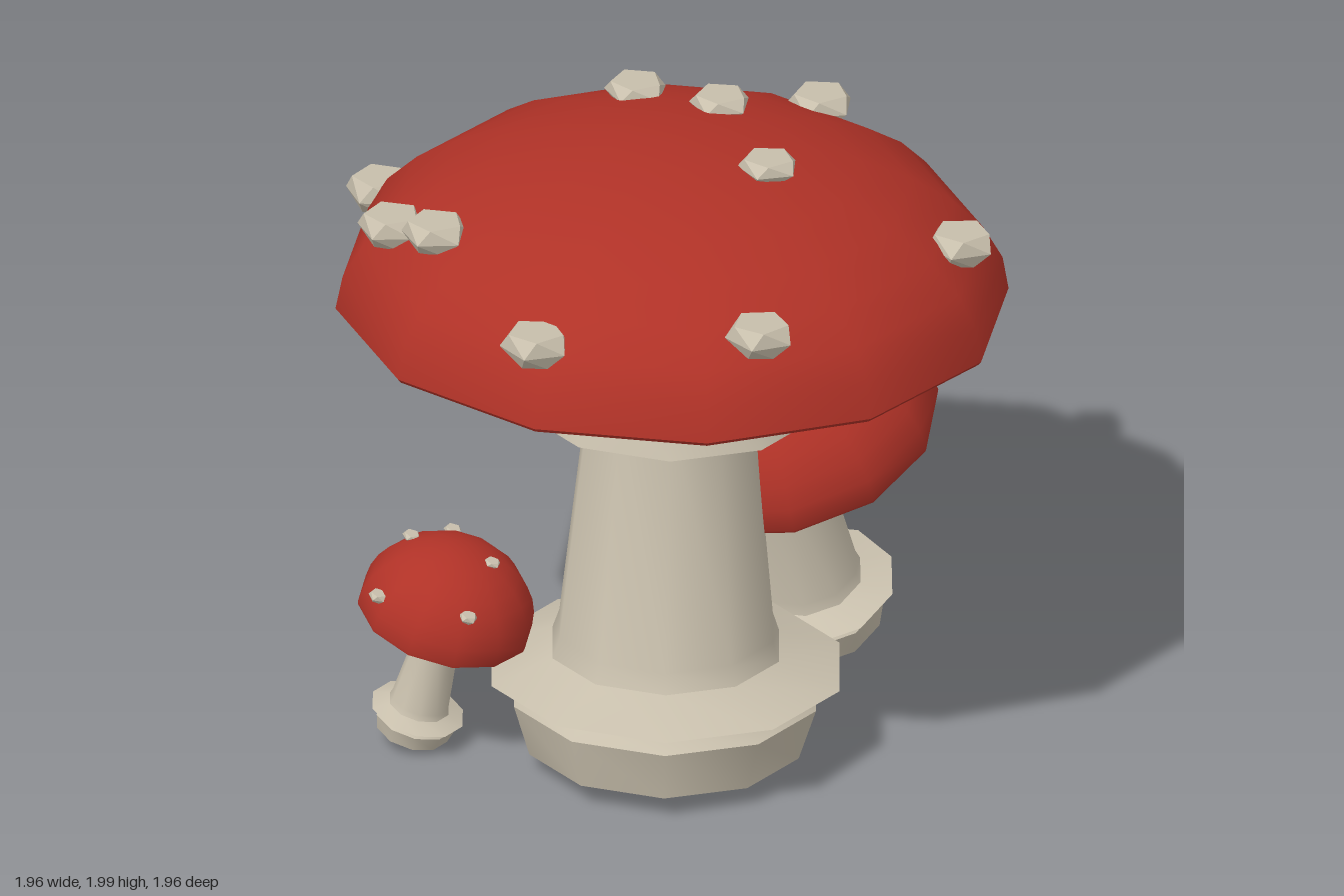
import * as THREE from 'three';
import { toCreasedNormals } from 'three/addons/utils/BufferGeometryUtils.js';

const red = new THREE.MeshStandardMaterial({ color: 0xb03227 });
red.name = 'cap red';
const cream = new THREE.MeshStandardMaterial({ color: 0xc9c0ad });
cream.name = 'stalk cream';

const lathe = (points, sides, crease) => toCreasedNormals(
  new THREE.LatheGeometry(points.map(([r, y]) => new THREE.Vector2(r, y)), sides), crease);

// Stalk profile [radius, height]: foot, flared ring, trunk, collar, neck
const STALK_LENGTH = 1.41;
const STALK = [
  [0, 0], [0.41, 0], [0.46, 0.16], [0.42, 0.2], [0.53, 0.235], [0.345, 0.3],
  [0.325, 0.36], [0.245, 1.13], [0.45, 1.1], [0.4, 1.26], [0.24, 1.31], [0.225, 1.32], [0.225, 1.42],
];

// Flattened five-sided wart with a twisted waist
function spotGeometry() {
  const geo = new THREE.LatheGeometry(
    [[0, -0.5], [0.6, -0.5], [1, 0], [0.8, 0.5], [0, 0.5]].map(([r, y]) => new THREE.Vector2(r, y)), 5);
  const p = geo.attributes.position;
  const v = new THREE.Vector3();
  const up = new THREE.Vector3(0, 1, 0);
  for (let i = 0; i < p.count; i++) {
    v.fromBufferAttribute(p, i).applyAxisAngle(up, p.getY(i) * 0.7);
    p.setXYZ(i, v.x, v.y, v.z);
  }
  return toCreasedNormals(geo, 0.1);
}

// One mushroom, with its origin at the middle of the cap rim
function mushroom({ name, at, axis, radius, height, stalk, spotSize, spots }) {
  const group = new THREE.Group();
  group.name = name;
  group.position.set(...at);
  group.quaternion.setFromUnitVectors(new THREE.Vector3(0, 1, 0), new THREE.Vector3(...axis).normalize());
  const add = (part, geo, mat) => {
    const mesh = new THREE.Mesh(geo, mat);
    mesh.name = part;
    group.add(mesh);
    return mesh;
  };

  // Domed cap with a narrow lip turned under the rim
  const dome = [[radius * 0.965, -0.012], [radius * 0.99, -0.012]];
  const rings = 8;
  for (let i = 0; i <= rings; i++) {
    const a = (i / rings) * Math.PI / 2;
    dome.push([i === rings ? 0 : radius * Math.cos(a), height * Math.sin(a)]);
  }
  add('cap', lathe(dome, 12, 0.75), red);
  add('capUnderside', lathe([[0, -0.012], [radius * 0.966, -0.012]], 12, 0.5), cream);

  // Stalk hanging below the cap
  const rScale = radius / 0.98;
  const yScale = stalk / STALK_LENGTH;
  add('stalk', lathe(STALK.map(([r, y]) => [r * rScale, y * yScale - stalk]), 10, 0.68), cream);

  // Spots resting on the dome
  const geo = spotGeometry();
  spots.forEach(([x, z], i) => {
    const q = Math.min(1, Math.hypot(x, z) / radius);
    const spot = add('spot', geo, cream);
    const s = spotSize * (0.9 + 0.22 * q);
    spot.position.set(x, height * Math.sqrt(1 - q * q) + s * 0.05, z);
    spot.scale.set(s, s * (0.6 + 0.35 * q), s);
    spot.rotation.y = i * 1.3;
  });
  return group;
}

export function createModel() {
  const model = new THREE.Group();
  model.name = 'mushroomCluster';
  model.add(
    mushroom({
      name: 'largeMushroom', at: [0, 1.46, 0], axis: [0.05, 1, -0.041],
      radius: 0.98, height: 0.51, stalk: 1.41, spotSize: 0.095,
      spots: [[-0.42, -0.86], [-0.74, -0.37], [-0.73, -0.17], [0.16, -0.41], [0.28, -0.16],
        [0.67, -0.2], [0.14, 0.27], [-0.79, 0.41], [0.58, 0.62], [-0.27, 0.8]],
    }),
    mushroom({
      name: 'mediumMushroom', at: [0.495, 0.81, -0.18], axis: [-0.26, 1, 0.1],
      radius: 0.485, height: 0.35, stalk: 0.78, spotSize: 0.047,
      spots: [[0.01, 0.33], [0.18, 0.33], [0.41, 0.06], [0.04, -0.42], [0.29, -0.37]],
    }),
    mushroom({
      name: 'smallMushroom', at: [-0.565, 0.45, -0.34], axis: [0.13, 1, 0.22],
      radius: 0.26, height: 0.23, stalk: 0.42, spotSize: 0.026,
      spots: [[-0.09, 0.19], [0.06, 0.07], [-0.24, -0.04], [-0.06, -0.16], [0.1, -0.165]],
    }),
  );
  return model;
}
